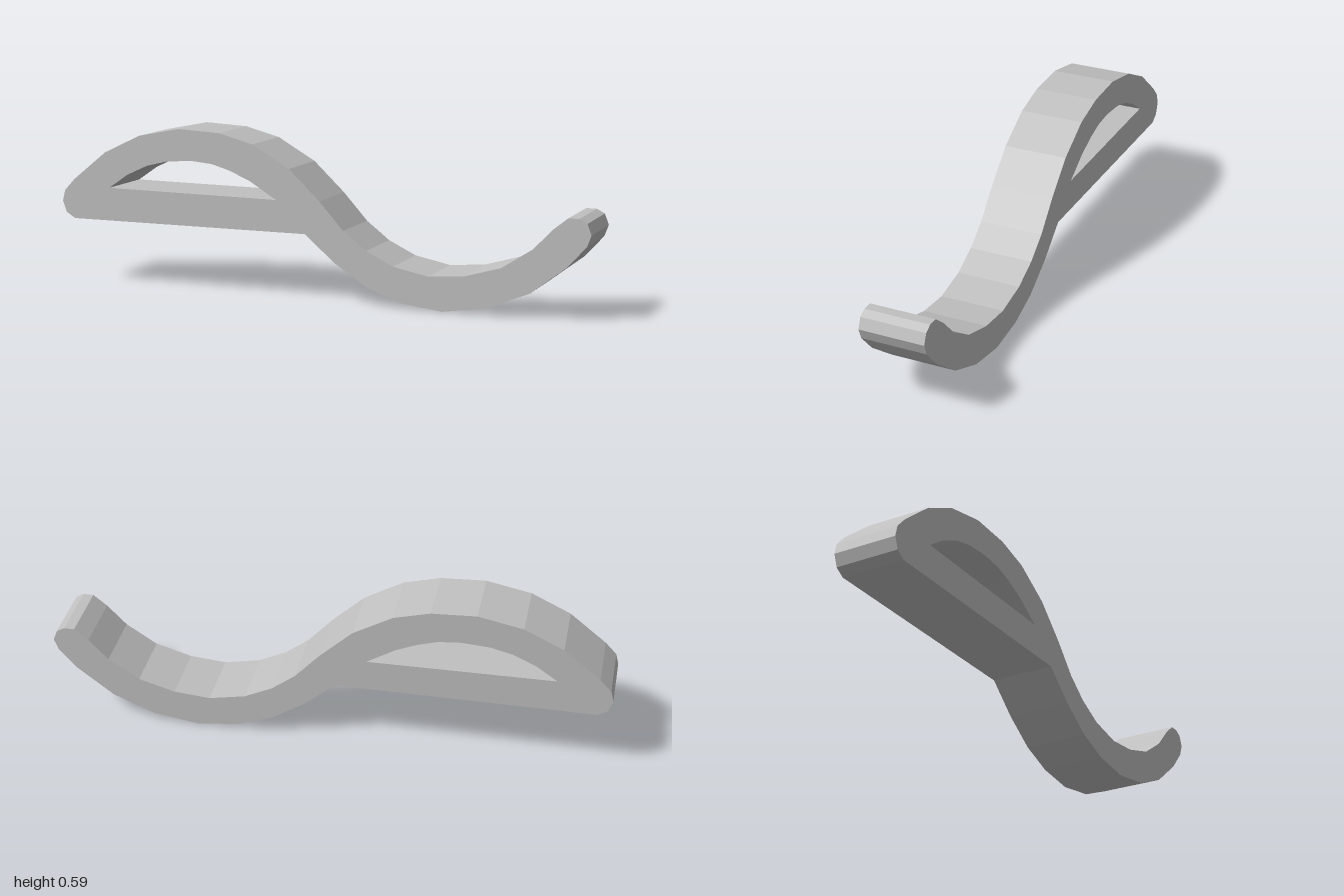
import * as THREE from 'three';

const toPoints = (pairs) => pairs.map(([x, y]) => new THREE.Vector2(x, y));

export function createModel() {
  const grey = new THREE.MeshStandardMaterial({ color: 0xc0c0c0 });
  grey.name = 'light grey';
  const depth = 0.234;

  // upper edge of the S-shaped band, left to right
  const upperEdge = [
    [-1, 0.3], [-0.99, 0.34], [-0.95, 0.383], [-0.82, 0.488], [-0.68, 0.555],
    [-0.52, 0.587], [-0.36, 0.579], [-0.23, 0.545], [-0.09, 0.465], [0.025, 0.357],
    [0.115, 0.258], [0.2, 0.193], [0.3, 0.145], [0.43, 0.119], [0.56, 0.13],
    [0.69, 0.168], [0.8, 0.24], [0.87, 0.313], [0.92, 0.353], [0.957, 0.353],
  ];
  // rounded tip, then the lower edge back to the flat base
  const lowerEdge = [
    [0.985, 0.338], [1, 0.3], [0.985, 0.26], [0.92, 0.187], [0.79, 0.087],
    [0.64, 0.025], [0.48, 0], [0.33, 0.018], [0.205, 0.063], [0.085, 0.14],
    [-0.03, 0.237], [-0.95, 0.237], [-0.985, 0.258],
  ];
  // opening between the arch and the base bar
  const opening = [
    [-0.805, 0.358], [-0.14, 0.352], [-0.24, 0.413], [-0.32, 0.447], [-0.39, 0.467],
    [-0.47, 0.474], [-0.57, 0.467], [-0.65, 0.447], [-0.73, 0.41],
  ];

  const profile = new THREE.Shape(toPoints([...upperEdge, ...lowerEdge]));
  profile.holes.push(new THREE.Path(toPoints(opening)));
  const geometry = new THREE.ExtrudeGeometry(profile, { depth, bevelEnabled: false, curveSegments: 1 });
  geometry.translate(0, 0, -depth / 2);

  const hook = new THREE.Mesh(geometry, grey);
  hook.name = 'sHook';
  const model = new THREE.Group();
  model.name = 'hook';
  model.add(hook);
  return model;
}
